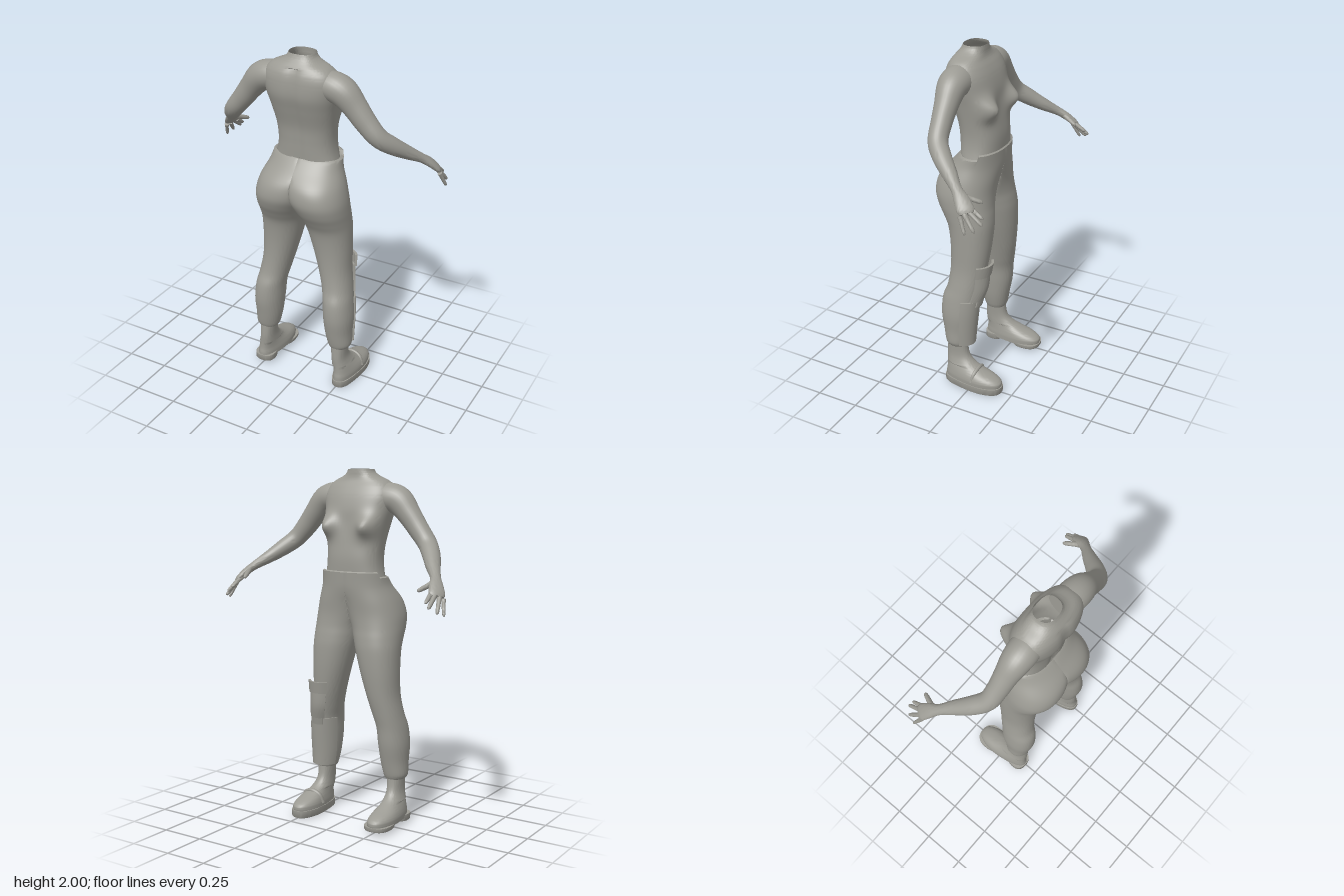
import * as THREE from 'three';
import { toCreasedNormals } from 'three/addons/utils/BufferGeometryUtils.js';

const clay = new THREE.MeshStandardMaterial({ color: 0x9c9b94, side: THREE.DoubleSide });
clay.name = 'warm grey';
const V = (x, y, z) => new THREE.Vector3(x, y, z);

// Smoothly resample a table of sections (Catmull-Rom on every column)
function resample(rows, steps) {
  const out = [];
  for (let i = 0; i < rows.length - 1; i++) {
    const a = rows[Math.max(i - 1, 0)], b = rows[i], c = rows[i + 1], d = rows[Math.min(i + 2, rows.length - 1)];
    for (let s = 0; s < steps; s++) {
      const t = s / steps;
      out.push(b.map((v, k) => 0.5 * (2 * v + (c[k] - a[k]) * t +
        (2 * a[k] - 5 * v + 4 * c[k] - d[k]) * t * t + (3 * v - a[k] - 3 * c[k] + d[k]) * t * t * t)));
    }
  }
  out.push(rows[rows.length - 1]);
  return out;
}

// Join closed rings into a skin, optionally closing the ends
function skin(name, rings, capStart, capEnd) {
  const collapse = (r) => {
    const c = r.reduce((s, p) => s.add(p), V(0, 0, 0)).divideScalar(r.length);
    return r.map(() => c);
  };
  const all = [...rings];
  if (capStart) all.unshift(collapse(rings[0]));
  if (capEnd) all.push(collapse(rings[rings.length - 1]));
  const n = all[0].length, pos = [], index = [];
  all.forEach((r) => r.forEach((p) => pos.push(p.x, p.y, p.z)));
  for (let i = 0; i < all.length - 1; i++) {
    for (let j = 0; j < n; j++) {
      const a = i * n + j, b = i * n + (j + 1) % n;
      index.push(a, b, b + n, a, b + n, a + n);
    }
  }
  const g = new THREE.BufferGeometry();
  g.setAttribute('position', new THREE.Float32BufferAttribute(pos, 3));
  g.setIndex(index);
  const mesh = new THREE.Mesh(toCreasedNormals(g, 0.85), clay);
  mesh.name = name;
  return mesh;
}

// Point on a level section [y, xMin, xMax, zBack, zFront] at angle t (front is 90 degrees)
function onSection([y, x0, x1, zb, zf], t, power = 2.2, grow = 0) {
  const f = (v) => Math.sign(v) * Math.pow(Math.abs(v), 2 / power);
  return V((x0 + x1) / 2 + ((x1 - x0) / 2 + grow) * f(Math.cos(t)), y,
    (zb + zf) / 2 - ((zb - zf) / 2 + grow) * f(Math.sin(t)));
}
function levelRings(rows, steps, n, power, rule = (p) => p) {
  return resample(rows, steps).map((row) =>
    Array.from({ length: n }, (_, j) => rule(onSection(row, j / n * Math.PI * 2, power))));
}

// Curved armour plate wrapped round part of a section
function plate(name, rows, fromDeg, toDeg, thick) {
  const n = 20, rings = resample(rows, 4).map((row) => {
    const ring = [];
    for (let side = 0; side < 2; side++) {
      for (let j = 0; j <= n; j++) {
        const k = side ? 1 - j / n : j / n;
        ring.push(onSection(row, THREE.MathUtils.degToRad(fromDeg + (toDeg - fromDeg) * k), 2, side ? -thick : 0));
      }
    }
    return ring;
  });
  const flat = (r) => r.map((_, j) => r[j].clone().lerp(r[r.length - 1 - j], 0.5));
  return skin(name, [flat(rings[0]), ...rings, flat(rings[rings.length - 1])]);
}

// Limb along rows of [x, y, z, half width, half thickness]
const palmUp = V(0.6, 0.75, -0.32).normalize();
function limb(name, rows, steps, n) {
  const pts = resample(rows, steps);
  const at = (i) => V(...pts[Math.min(Math.max(i, 0), pts.length - 1)].slice(0, 3));
  const rings = pts.map((p, i) => {
    const dir = at(i + 1).sub(at(i - 1)).normalize();
    const up = palmUp.clone().addScaledVector(dir, -palmUp.dot(dir)).normalize();
    const side = up.clone().cross(dir);
    return Array.from({ length: n }, (_, j) => {
      const t = j / n * Math.PI * 2;
      return at(i).addScaledVector(side, p[3] * Math.cos(t)).addScaledVector(up, p[4] * Math.sin(t));
    });
  });
  return skin(name, rings, true, true);
}

function makeTorso() {
  const rows = [
    [1.38, 0.185, 0.155, -0.06], [1.45, 0.168, 0.16, -0.065], [1.52, 0.163, 0.165, -0.065],
    [1.6, 0.17, 0.175, -0.055], [1.7, 0.187, 0.205, -0.04], [1.78, 0.205, 0.228, -0.033],
    [1.85, 0.215, 0.23, -0.015], [1.9, 0.2, 0.222, 0.008], [1.935, 0.165, 0.205, 0.03],
    [1.96, 0.11, 0.188, 0.038], [1.98, 0.082, 0.175, 0.04], [2.0, 0.072, 0.166, 0.042],
  ].map(([y, w, b, f]) => [y, -w, w, b, f]);
  // Chest volume in front, shallow spine groove behind
  const shape = (p) => {
    if (p.z < 0.08) {
      const d = ((Math.abs(p.x) - 0.13) ** 2 + (p.y - 1.69) ** 2) / 0.0034;
      p.z -= 0.07 * Math.exp(-d) * Math.min(1, (0.08 - p.z) / 0.06);
    } else if (p.y < 1.93) p.z -= 0.012 * Math.exp(-((p.x / 0.03) ** 2));
    return p;
  };
  return skin('torso', levelRings(rows, 6, 80, 2.5, shape));
}

function makeArm() {
  const arm = new THREE.Group();
  arm.name = 'arm';
  arm.add(limb('armAndPalm', [
    [0.1, 1.85, 0.11, 0.08, 0.075], [0.19, 1.845, 0.115, 0.085, 0.08], [0.25, 1.82, 0.115, 0.078, 0.078],
    [0.31, 1.755, 0.11, 0.064, 0.066], [0.37, 1.68, 0.105, 0.056, 0.059], [0.435, 1.605, 0.09, 0.053, 0.052],
    [0.49, 1.55, 0.035, 0.05, 0.047], [0.545, 1.495, -0.04, 0.04, 0.036], [0.595, 1.45, -0.105, 0.029, 0.025],
    [0.625, 1.415, -0.15, 0.039, 0.022], [0.65, 1.378, -0.187, 0.045, 0.018], [0.66, 1.362, -0.2, 0.036, 0.012],
  ], 5, 28));
  // Thumb, then index to little finger: base, tip, radius
  [
    [[0.605, 1.425, -0.15], [0.566, 1.39, -0.24], 0.014],
    [[0.625, 1.385, -0.195], [0.632, 1.335, -0.275], 0.012],
    [[0.645, 1.374, -0.195], [0.655, 1.31, -0.285], 0.0125],
    [[0.665, 1.36, -0.188], [0.69, 1.283, -0.257], 0.012],
    [[0.68, 1.35, -0.172], [0.705, 1.267, -0.212], 0.0105],
  ].forEach(([a, b, r], i) => {
    const mix = (k, s) => [0, 1, 2].map((c) => a[c] + (b[c] - a[c]) * k).concat(r * s, r * s);
    arm.add(limb(i ? 'finger' : 'thumb',
      [mix(0, 1.2), mix(0.35, 1), mix(0.7, 0.9), mix(0.92, 0.7), mix(1, 0.25)], 3, 10));
  });
  return arm;
}

function makeTrouserLeg() {
  const rows = [
    [0.26, 0.18, 0.295, 0.165, 0.045], [0.285, 0.17, 0.308, 0.175, 0.035], [0.36, 0.155, 0.308, 0.19, 0.02],
    [0.46, 0.145, 0.312, 0.205, 0], [0.56, 0.138, 0.302, 0.2, -0.01], [0.64, 0.12, 0.288, 0.175, -0.025],
    [0.75, 0.09, 0.272, 0.165, -0.045], [0.88, 0.052, 0.27, 0.17, -0.06], [1, 0.018, 0.27, 0.19, -0.065],
    [1.07, -0.005, 0.27, 0.225, -0.06], [1.13, -0.03, 0.27, 0.26, -0.052], [1.2, -0.07, 0.265, 0.283, -0.05],
    [1.28, -0.11, 0.245, 0.268, -0.058], [1.36, -0.19, 0.213, 0.205, -0.07], [1.41, -0.203, 0.203, 0.163, -0.075],
  ];
  // The halves meet on the centre line; the waist steps up in front
  const shape = (p) => {
    p.x = Math.max(p.x, 0);
    if (p.z < 0 && p.y > 1.36) p.y += (p.y - 1.36) * 0.55;
    return p;
  };
  const rings = levelRings(rows, 5, 72, 2.15, shape);
  const inward = (r, k, c, drop) => r.map((p) => V(p.x + (c - p.x) * k, p.y - drop, p.z + (0.045 - p.z) * k));
  const top = rings[rings.length - 1], cuff = rings[0];
  const hem = cuff.map((p) => V(p.x + (0.238 - p.x) * 0.3, p.y, p.z + (0.105 - p.z) * 0.3));
  return skin('trouserLeg', [hem, ...rings, inward(top, 0.06, 0, -0.006), inward(top, 0.16, 0, 0.012)]);
}

// Shoe upper with a heel narrower than the ball of the foot
const heelTaper = (p) => {
  if (p.y < 0.13) p.x = 0.255 + (p.x - 0.255) * (1 - 0.16 * THREE.MathUtils.smoothstep(p.z, -0.08, 0.12));
  return p;
};
function slab(name, y0, y1, zb, zf, x0, x1) {
  const row = (y, d) => [y, x0 + d, x1 - d, zb - d, zf + d];
  return skin(name, levelRings([row(y0, 0.004), row(y0 + 0.006, 0), row(y1, 0)], 1, 48, 2.5, heelTaper), true, true);
}
function makeShoe() {
  return skin('shoeUpper', levelRings([
    [0.035, 0.182, 0.33, 0.172, -0.18], [0.065, 0.182, 0.331, 0.172, -0.182], [0.09, 0.187, 0.324, 0.168, -0.145],
    [0.118, 0.194, 0.31, 0.167, -0.065], [0.15, 0.198, 0.294, 0.168, 0], [0.2, 0.199, 0.283, 0.17, 0.038],
    [0.3, 0.192, 0.286, 0.165, 0.05],
  ], 5, 48, 2.3, heelTaper), true, true);
}

export function createModel() {
  const model = new THREE.Group();
  model.name = 'figure';
  model.add(makeTorso());

  // Mirrored arms, trouser legs and shoes
  for (const s of [1, -1]) {
    const half = new THREE.Group();
    half.name = s > 0 ? 'plusSide' : 'minusSide';
    half.scale.x = s;
    half.add(makeArm(), makeTrouserLeg(), makeShoe());
    if (s > 0) {
      // Flat-soled shoe with an instep strap
      half.add(slab('sole', 0, 0.042, 0.177, -0.187, 0.178, 0.335));
      const path = new THREE.CatmullRomCurve3([V(0.185, 0.06, -0.02), V(0.205, 0.11, -0.03),
        V(0.252, 0.128, -0.035), V(0.3, 0.11, -0.03), V(0.322, 0.06, -0.02)]);
      const strap = new THREE.Mesh(new THREE.TubeGeometry(path, 24, 0.012, 8), clay);
      strap.name = 'instepStrap';
      half.add(strap);
    } else {
      // Boot with a separate heel
      half.add(slab('bootSole', 0.018, 0.042, -0.01, -0.187, 0.18, 0.333));
      half.add(slab('bootHeel', 0.012, 0.05, 0.176, 0.06, 0.185, 0.33));
    }
    model.add(half);
  }

  // Armour on one leg: shin guard, knee cup, lower tab and thigh band
  model.add(
    plate('shinGuard', [[0.28, 0.155, 0.312, 0.19, 0], [0.36, 0.144, 0.316, 0.2, -0.006],
      [0.48, 0.135, 0.318, 0.21, -0.018], [0.57, 0.13, 0.312, 0.21, -0.026]], 20, 165, 0.014),
    plate('kneeTab', [[0.535, 0.13, 0.3, 0.19, -0.035], [0.6, 0.12, 0.295, 0.18, -0.05]], 62, 112, 0.012),
    plate('kneeCup', [[0.575, 0.125, 0.3, 0.185, -0.045], [0.65, 0.105, 0.29, 0.18, -0.066],
      [0.74, 0.09, 0.285, 0.17, -0.07]], 38, 122, 0.014),
    plate('kneeBand', [[0.73, 0.085, 0.292, 0.17, -0.078], [0.797, 0.075, 0.292, 0.17, -0.088]], 36, 125, 0.014),
  );
  return model;
}
